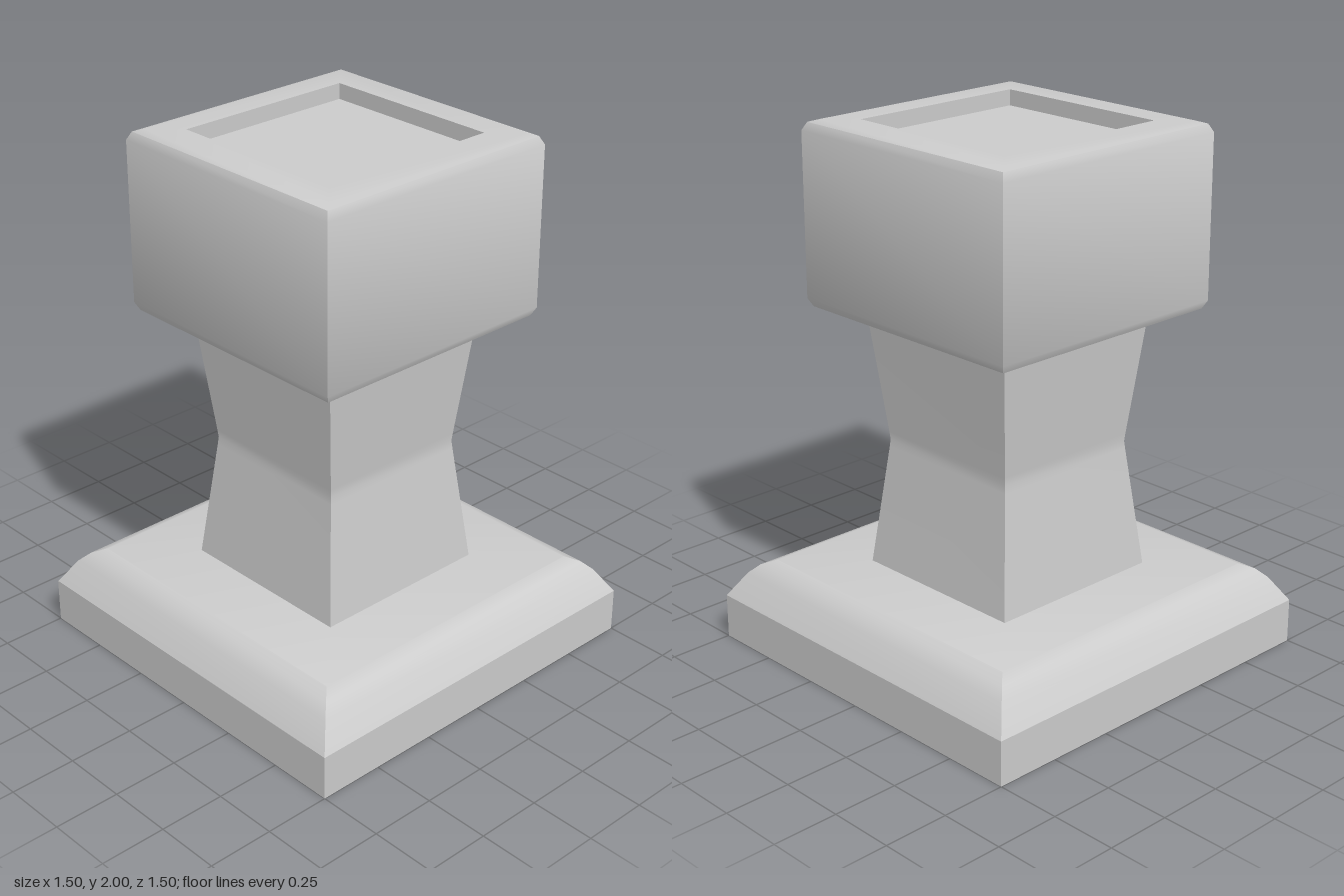
import * as THREE from 'three';
import { toCreasedNormals } from 'three/addons/utils/BufferGeometryUtils.js';

const material = new THREE.MeshStandardMaterial({ color: 0xcccccc });

// Square solid from a profile of [half width, height], listed bottom to top
function squareLoft(name, profile, crease = 0.5) {
  const points = profile.map(([half, y]) => new THREE.Vector2(half * Math.SQRT2, y));
  const lathe = new THREE.LatheGeometry(points, 4, Math.PI / 4);
  const mesh = new THREE.Mesh(toCreasedNormals(lathe, crease), material);
  mesh.name = name;
  return mesh;
}

export function createModel() {
  const group = new THREE.Group();
  group.name = 'pedestalPost';

  // Plinth with a bevelled, rounded shoulder
  group.add(squareLoft('base', [
    [0, 0], [0.75, 0], [0.75, 0.17], [0.69, 0.265], [0.655, 0.3], [0.61, 0.32], [0, 0.32],
  ]));

  // Waisted column
  group.add(squareLoft('neck', [
    [0.357, 0.32], [0.305, 0.78], [0.302, 0.81], [0.305, 0.84], [0.357, 1.31],
  ]));

  // Block head with softened edges and a shallow square recess on top
  group.add(squareLoft('head', [
    [0, 1.31], [0.46, 1.31], [0.49, 1.32], [0.505, 1.35],
    [0.505, 1.96], [0.49, 1.99], [0.46, 2],
    [0.358, 2], [0.358, 1.94], [0, 1.94],
  ]));

  return group;
}
